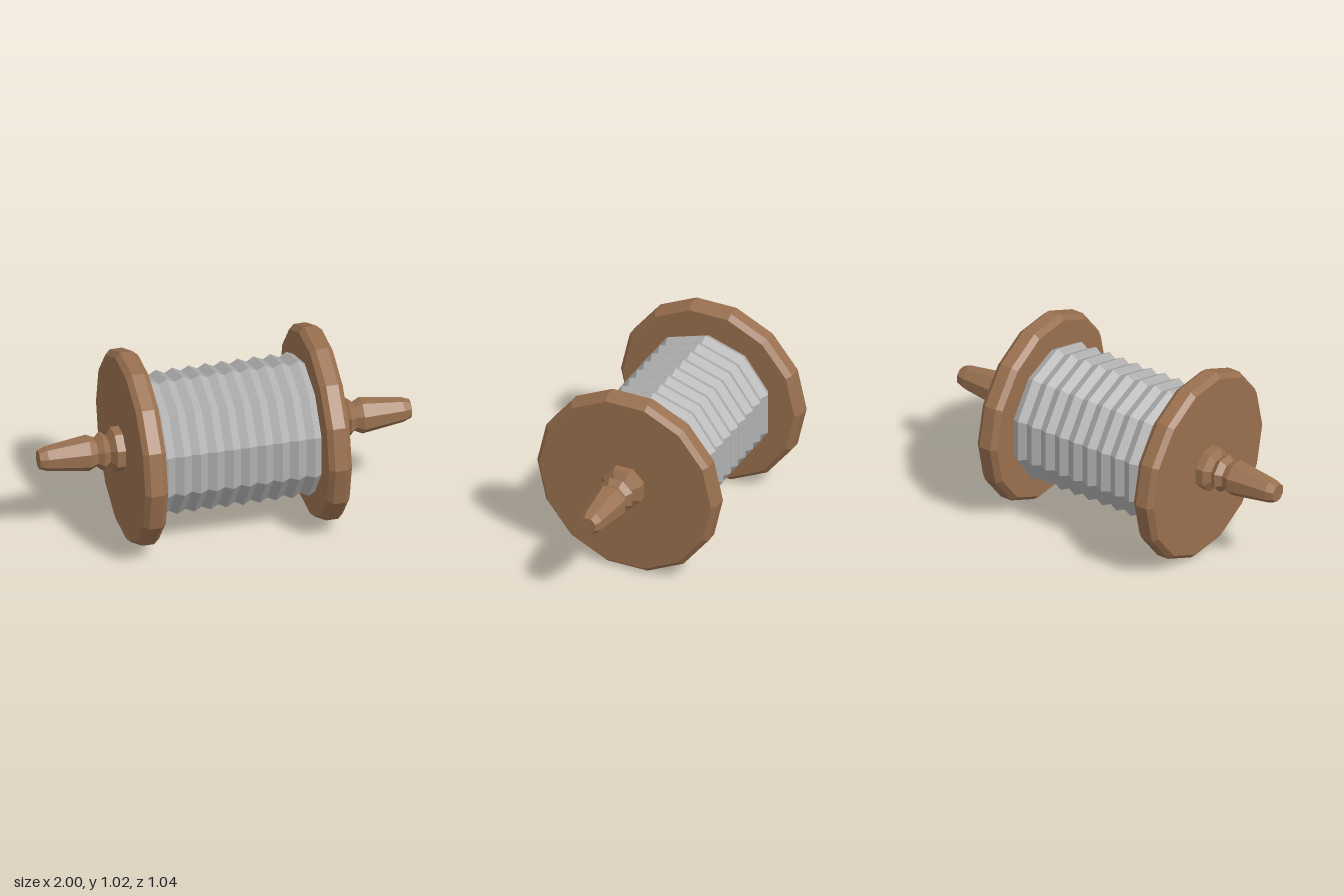
import * as THREE from 'three';

const AXIS_Y = 0.511;

export function createModel() {
  const group = new THREE.Group();
  group.name = 'spool';

  const wood = new THREE.MeshStandardMaterial({ color: 0x99704f, flatShading: true });
  wood.name = 'brown wood';
  const thread = new THREE.MeshStandardMaterial({ color: 0xb0b0b0, flatShading: true });
  thread.name = 'grey thread';

  // Turned part lying along x; profile is a list of [x, radius] with x ascending
  function turned(name, profile, sides, start, material) {
    const points = profile.map(([x, r]) => new THREE.Vector2(r, x));
    const geometry = new THREE.LatheGeometry(points, sides, start);
    geometry.rotateZ(-Math.PI / 2);
    const mesh = new THREE.Mesh(geometry, material);
    mesh.name = name;
    mesh.position.y = AXIS_Y;
    return mesh;
  }

  // Wound thread: ten ridges between the end discs
  const turns = 10, half = 0.44, step = (2 * half) / turns;
  const ridges = [[-half, 0.358]];
  for (let i = 0; i < turns; i++) {
    const x = -half + i * step;
    ridges.push([x + step / 2, 0.38], [x + step, 0.358]);
  }
  group.add(turned('threadWinding', ridges, 10, Math.PI / 2, thread));

  // Bevelled disc and turned handle at each end
  const disc = [[0.433, 0], [0.433, 0.496], [0.462, 0.521], [0.528, 0.521], [0.556, 0.496], [0.556, 0]];
  const handle = [
    [0.55, 0.12], [0.6, 0.12], [0.628, 0.077], [0.662, 0.104], [0.695, 0.077],
    [0.735, 0.097], [0.957, 0.066], [1, 0.05], [1, 0],
  ];
  for (const [side, turn] of [['left', 0], ['right', Math.PI]]) {
    const end = new THREE.Group();
    end.name = side + 'End';
    end.add(turned(side + 'Disc', disc, 14, 0, wood));
    end.add(turned(side + 'Handle', handle, 8, Math.PI / 8, wood));
    end.rotation.y = turn;
    group.add(end);
  }
  return group;
}
